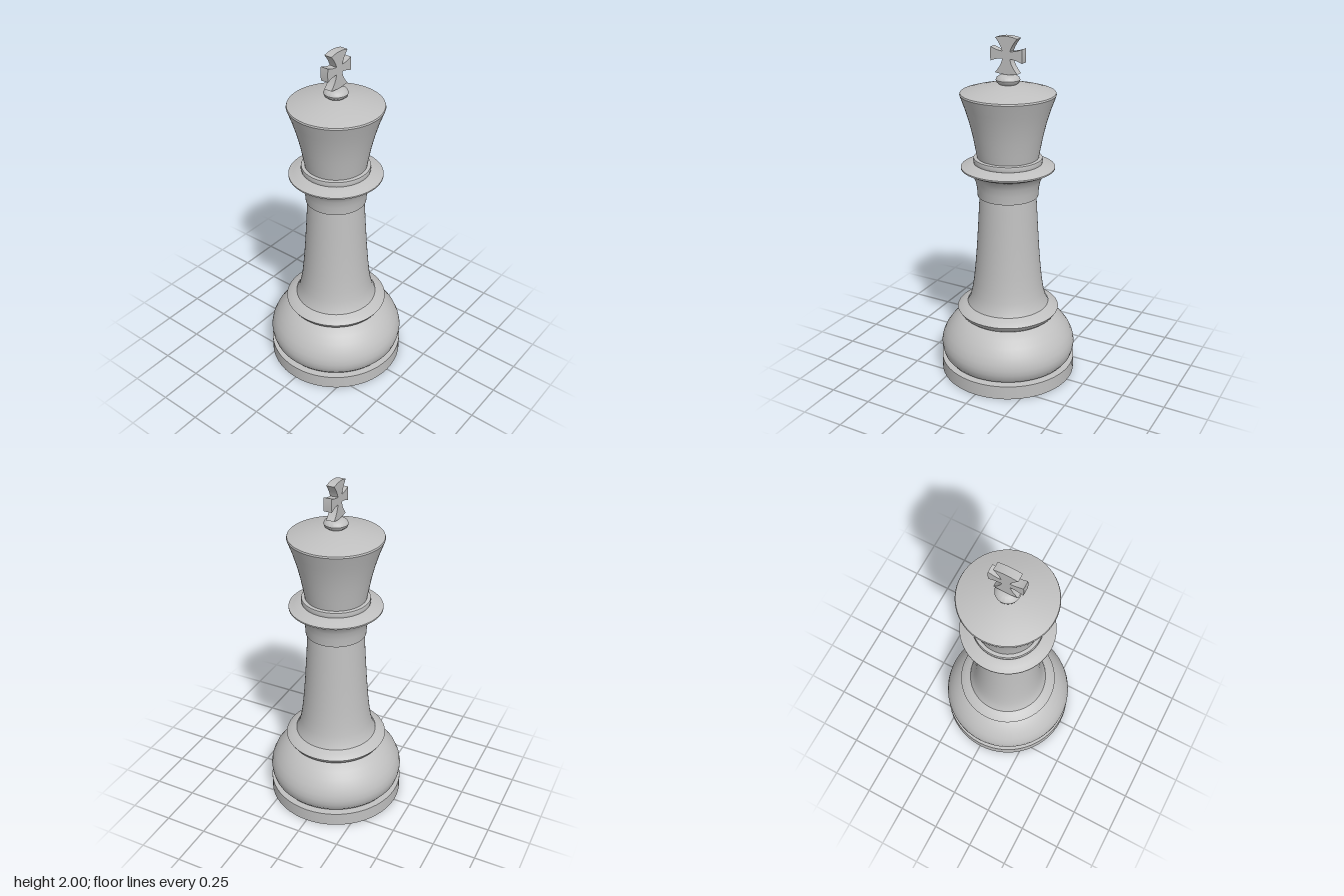
import * as THREE from 'three';
import { toCreasedNormals } from 'three/addons/utils/BufferGeometryUtils.js';

const SEGMENTS = 56;

export function createModel() {
  const group = new THREE.Group();
  group.name = 'chessKing';
  const grey = new THREE.MeshStandardMaterial({ color: 0xc0c0c0 });
  grey.name = 'grey';

  const add = (name, geometry) => {
    const mesh = new THREE.Mesh(geometry, grey);
    mesh.name = name;
    group.add(mesh);
    return mesh;
  };

  // Turned part from [radius, height] pairs, bottom to top
  const turn = (name, profile) => add(name, toCreasedNormals(
    new THREE.LatheGeometry(profile.map(([r, y]) => new THREE.Vector2(r, y)), SEGMENTS), 0.6));

  turn('base', [[0, 0], [0.398, 0], [0.398, 0.082], [0.35, 0.085]]);

  turn('bulb', [[0.35, 0.085], [0.368, 0.093], [0.385, 0.115], [0.395, 0.15], [0.397, 0.18],
    [0.39, 0.215], [0.373, 0.255], [0.345, 0.295], [0.312, 0.33], [0.282, 0.352], [0.265, 0.362]]);

  turn('lowerCollar', [[0.265, 0.362], [0.28, 0.375], [0.298, 0.403], [0.29, 0.411],
    [0.262, 0.425], [0.238, 0.436]]);

  turn('column', [[0.238, 0.432], [0.224, 0.46], [0.211, 0.51], [0.201, 0.57], [0.191, 0.66],
    [0.181, 0.78], [0.172, 0.92], [0.165, 1.04], [0.161, 1.11]]);

  turn('neck', [[0.158, 1.102], [0.172, 1.102], [0.175, 1.15], [0.183, 1.19],
    [0.197, 1.225], [0.215, 1.245], [0.235, 1.251]]);

  turn('upperCollar', [[0.19, 1.25], [0.235, 1.251], [0.264, 1.266], [0.264, 1.274],
    [0.235, 1.283], [0.205, 1.296], [0.185, 1.298]]);

  turn('ring', [[0.18, 1.292], [0.192, 1.298], [0.195, 1.312], [0.192, 1.327], [0.17, 1.33]]);

  turn('crown', [[0.172, 1.325], [0.182, 1.38], [0.195, 1.45], [0.214, 1.53], [0.238, 1.61],
    [0.265, 1.685], [0.262, 1.694], [0.21, 1.71], [0.14, 1.727], [0.06, 1.74], [0, 1.744]]);

  turn('knob', [[0.034, 1.73], [0.05, 1.741], [0.063, 1.752], [0.067, 1.765],
    [0.061, 1.778], [0.045, 1.788], [0.025, 1.793], [0, 1.794]]);

  // Cross with four flared arms
  const cross = new THREE.Shape();
  cross.moveTo(-0.068, -0.098);
  cross.quadraticCurveTo(0, -0.112, 0.068, -0.098);
  cross.quadraticCurveTo(0.03, -0.06, 0.023, -0.02);
  cross.quadraticCurveTo(0.06, -0.022, 0.095, -0.038);
  cross.quadraticCurveTo(0.099, 0, 0.095, 0.038);
  cross.quadraticCurveTo(0.06, 0.022, 0.023, 0.02);
  cross.quadraticCurveTo(0.035, 0.055, 0.066, 0.09);
  cross.quadraticCurveTo(0, 0.11, -0.066, 0.09);
  cross.quadraticCurveTo(-0.035, 0.055, -0.023, 0.02);
  cross.quadraticCurveTo(-0.06, 0.022, -0.095, 0.038);
  cross.quadraticCurveTo(-0.099, 0, -0.095, -0.038);
  cross.quadraticCurveTo(-0.06, -0.022, -0.023, -0.02);
  cross.quadraticCurveTo(-0.03, -0.06, -0.068, -0.098);
  const crossGeometry = new THREE.ExtrudeGeometry(cross, {
    depth: 0.046, bevelEnabled: false, curveSegments: 6,
  });
  crossGeometry.translate(0, 1.9, -0.023);
  add('cross', toCreasedNormals(crossGeometry, 0.6));

  return group;
}
